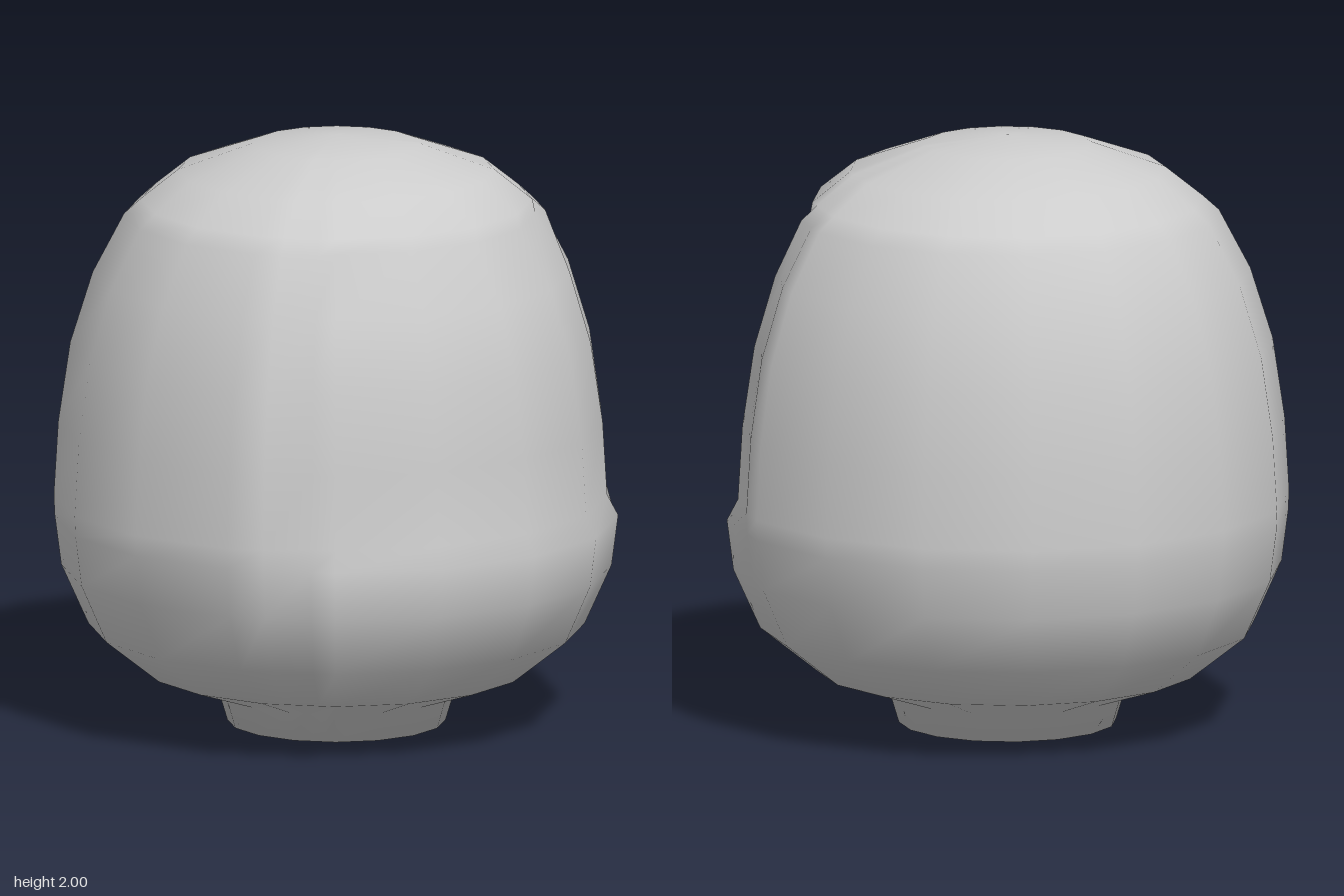
import * as THREE from 'three';

const deg = Math.PI / 180;

// Rings from crown to neck: [radius, height, face half-angle, face depth]
const rings = [
  [0.28, 1.97], [0.53, 1.88],
  [0.655, 1.78],                 // brow edge
  [0.71, 1.73, 46, 0.045], [0.815, 1.53, 51, 0.035], [0.89, 1.29, 51, 0.04],
  [0.93, 1.02, 51, 0.04], [0.945, 0.77, 51, 0.04],
  [0.942, 0.70],                 // chin edge
  [0.92, 0.53], [0.83, 0.33], [0.64, 0.18], [0.395, 0.10], [0.365, 0],
];

// Sixteen even columns, plus a floor and a rim column at each side of the face
const angles = [-60, -50, 50, 60];
for (let i = 0; i < 16; i++) angles.push(-180 + i * 22.5);
angles.sort((a, b) => a - b);

// Keeps inserted columns on the flat sides of the sixteen-sided ring
function chordRadius(r, a) {
  const middle = (Math.floor(a / 22.5) + 0.5) * 22.5;
  return r * Math.cos(11.25 * deg) / Math.cos((a - middle) * deg);
}

function headGeometry() {
  const positions = [0, 2, 0];
  const index = [];
  const n = angles.length;
  for (const [radius, y, halfAngle = -1, depth = 0] of rings) {
    for (const a of angles) {
      const r = chordRadius(radius, a) - (Math.abs(a) <= halfAngle ? depth : 0);
      positions.push(r * Math.sin(a * deg), y, r * Math.cos(a * deg));
    }
  }
  const base = positions.length / 3;
  positions.push(0, 0, 0);

  const at = (row, col) => 1 + row * n + (col % n);
  const last = rings.length - 1;
  for (let j = 0; j < n; j++) {
    index.push(0, at(0, j), at(0, j + 1));               // crown
    for (let i = 0; i < last; i++) {
      const a = at(i, j), b = at(i + 1, j), c = at(i + 1, j + 1), d = at(i, j + 1);
      index.push(a, b, d, b, c, d);
    }
    index.push(at(last, j), base, at(last, j + 1));      // neck base
  }
  const geometry = new THREE.BufferGeometry();
  geometry.setAttribute('position', new THREE.Float32BufferAttribute(positions, 3));
  geometry.setIndex(index);
  geometry.computeVertexNormals();
  return geometry;
}

export function createModel() {
  const group = new THREE.Group();
  group.name = 'roundHead';
  const grey = new THREE.MeshStandardMaterial({ color: 0xcccccc });
  grey.name = 'lightGrey';
  const head = new THREE.Mesh(headGeometry(), grey);
  head.name = 'headWithRecessedFace';
  group.add(head);
  return group;
}
